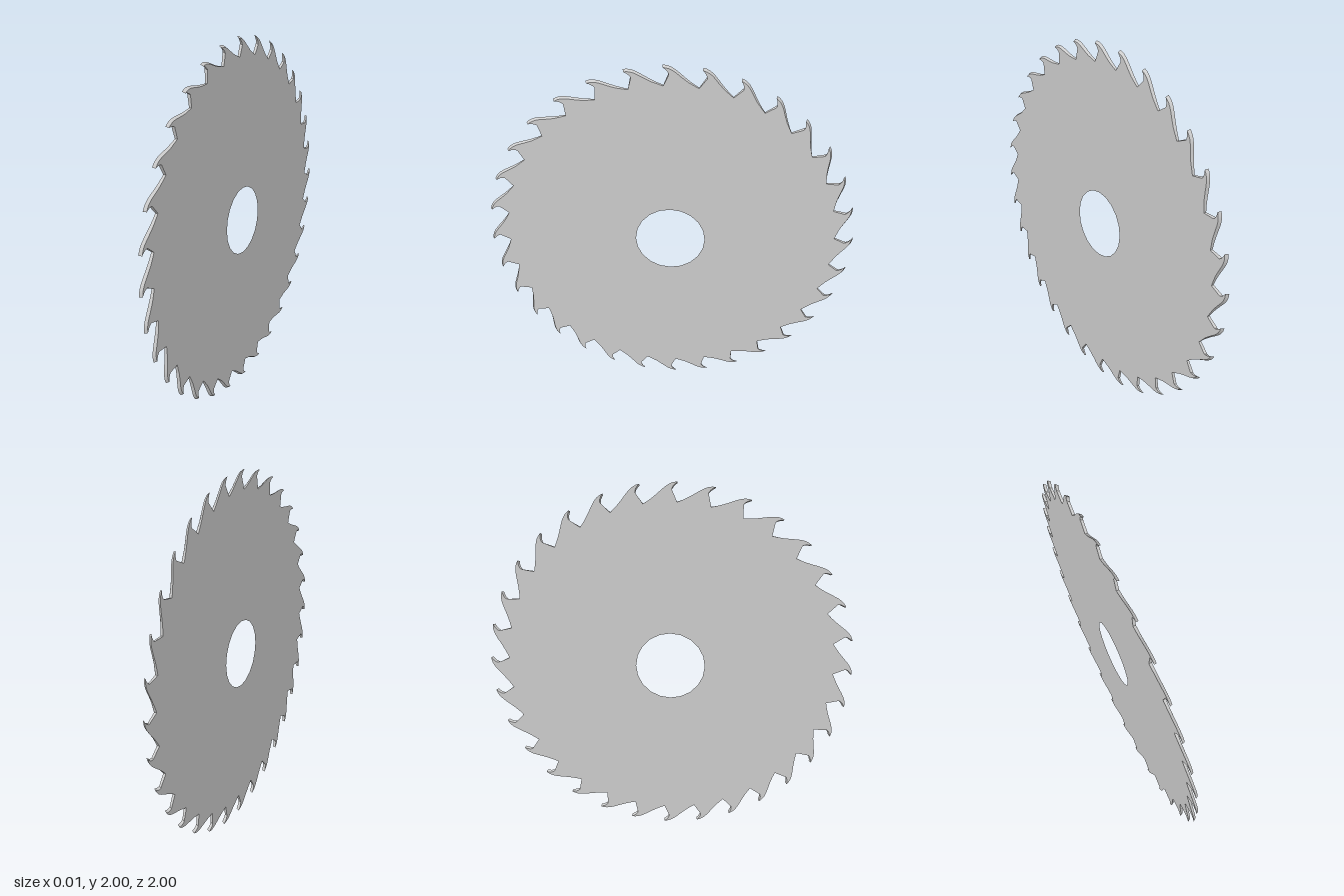
import * as THREE from 'three';
import { toCreasedNormals } from 'three/addons/utils/BufferGeometryUtils.js';

const TEETH = 32;
const THICKNESS = 0.014;
const BORE = 0.19;
const ROOT = 0.897;
const FIRST_TIP = -2.1; // degrees clockwise from the top

// Polar point: degrees clockwise from the top, radius
function polar(deg, r) {
  const a = THREE.MathUtils.degToRad(deg);
  return [r * Math.sin(a), r * Math.cos(a)];
}

// Outline of hooked teeth around the disc, with a round bore
function bladeShape() {
  const shape = new THREE.Shape();
  const pitch = 360 / TEETH;
  shape.moveTo(...polar(FIRST_TIP, 1));
  for (let i = 0; i < TEETH; i++) {
    const a = FIRST_TIP + i * pitch;
    const next = a + pitch;
    // curved back down to the gullet
    shape.bezierCurveTo(...polar(a + 3.5, 1), ...polar(a + 5, 0.945), ...polar(next - 0.1, ROOT));
    // straight cutting face, then the small hook up to the next tip
    shape.lineTo(...polar(next + 1.7, 0.962));
    shape.quadraticCurveTo(...polar(next + 1.5, 0.982), ...polar(next, 1));
  }
  const bore = new THREE.Path();
  bore.absarc(0, 0, BORE, 0, Math.PI * 2, true);
  shape.holes.push(bore);
  return shape;
}

export function createModel() {
  const group = new THREE.Group();
  group.name = 'circularSawBlade';

  const geometry = new THREE.ExtrudeGeometry(bladeShape(), {
    depth: THICKNESS, bevelEnabled: false, curveSegments: 10,
  });
  geometry.translate(0, 0, -THICKNESS / 2);

  // Grind the teeth at a slant: one side sits slightly further in
  const p = geometry.attributes.position;
  for (let i = 0; i < p.count; i++) {
    const r = Math.hypot(p.getX(i), p.getY(i));
    if (p.getZ(i) < 0 || r < ROOT) continue;
    const k = 1 - 0.01 * Math.min(1, (r - ROOT) / 0.04) / r;
    p.setXY(i, p.getX(i) * k, p.getY(i) * k);
  }

  // Stand the disc upright in the y-z plane
  geometry.rotateY(Math.PI / 2);
  geometry.translate(0, 1, 0);

  const blade = new THREE.Mesh(
    toCreasedNormals(geometry, 0.6),
    new THREE.MeshStandardMaterial({ color: 0xcccccc }),
  );
  blade.name = 'toothedBlade';
  group.add(blade);
  return group;
}
